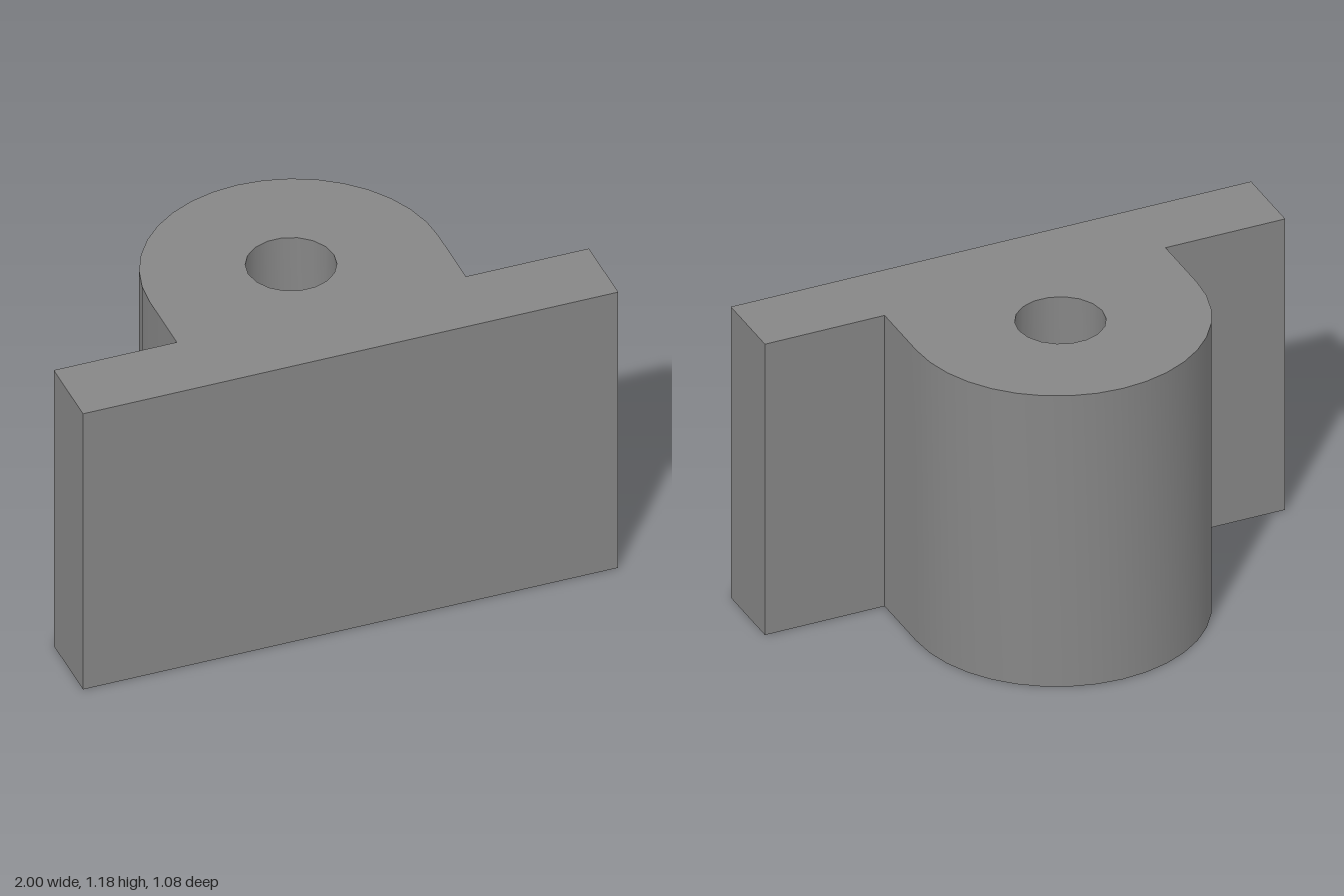
import * as THREE from 'three';
import { toCreasedNormals } from 'three/addons/utils/BufferGeometryUtils.js';

const HEIGHT = 1.18;
const FRONT = 0.54;      // front face of the base plate
const PLATE_BACK = 0.26; // rear face of the base plate
const RADIUS = 0.54;     // rounded boss

export function createModel() {
  const group = new THREE.Group();
  group.name = 'mountingBlock';

  // Plan outline, with shape y pointing to the rear (-z)
  const outline = new THREE.Shape();
  outline.moveTo(-1, -FRONT);
  outline.lineTo(1, -FRONT);
  outline.lineTo(1, -PLATE_BACK);
  outline.lineTo(RADIUS, -PLATE_BACK);
  outline.lineTo(RADIUS, 0);
  outline.absarc(0, 0, RADIUS, 0, Math.PI, false);
  outline.lineTo(-RADIUS, -PLATE_BACK);
  outline.lineTo(-1, -PLATE_BACK);
  outline.closePath();

  // Through bore, slightly behind the boss centre
  const bore = new THREE.Path();
  bore.absarc(0, 0.03, 0.16, 0, Math.PI * 2, true);
  outline.holes.push(bore);

  const extruded = new THREE.ExtrudeGeometry(outline, {
    depth: HEIGHT, bevelEnabled: false, curveSegments: 9,
  });
  extruded.rotateX(-Math.PI / 2);

  // Smooth curved walls, sharp corners
  const block = new THREE.Mesh(
    toCreasedNormals(extruded, Math.PI / 6),
    new THREE.MeshStandardMaterial({ color: 0x868686 }),
  );
  block.name = 'flangedBossWithBore';
  group.add(block);
  return group;
}
